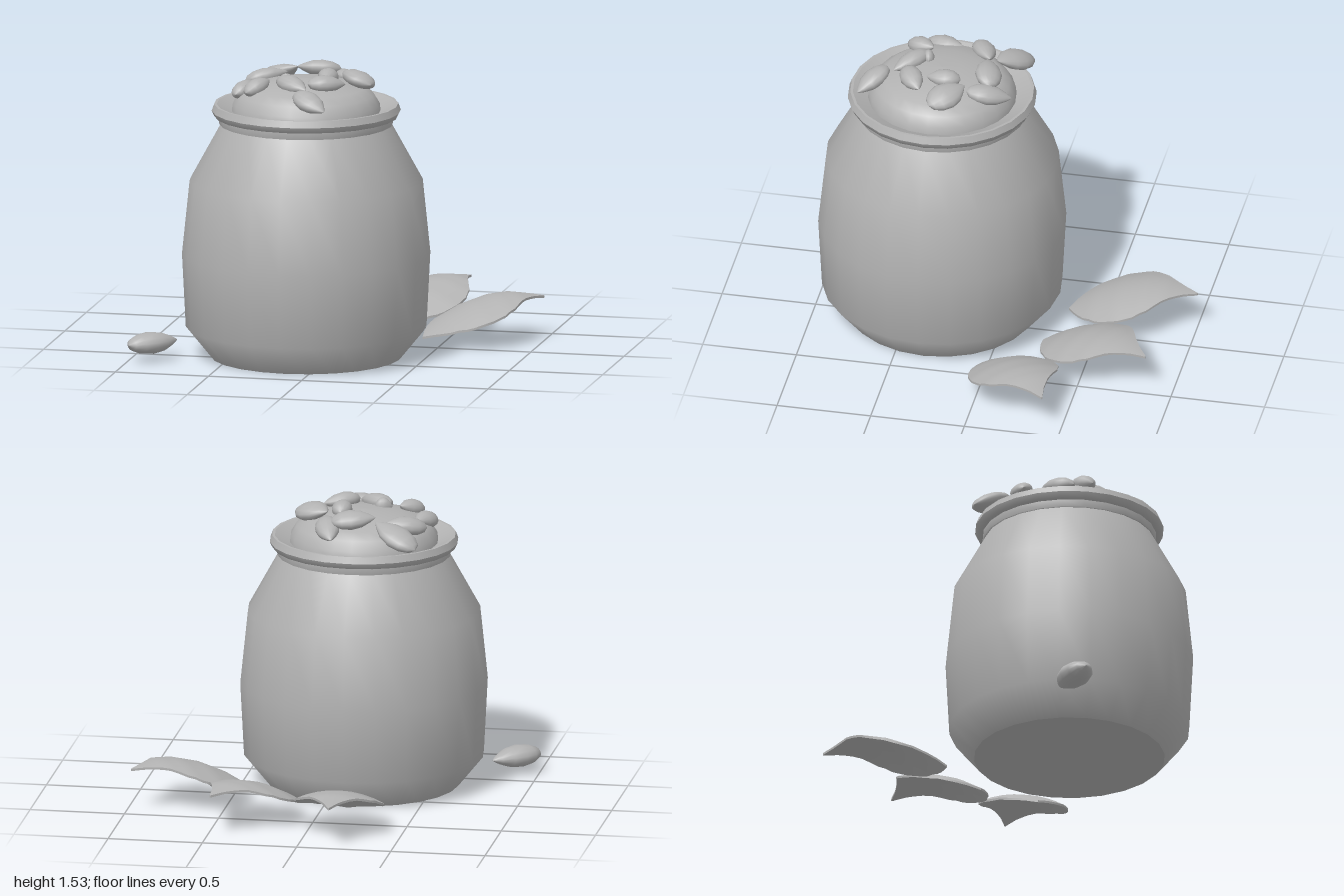
import * as THREE from 'three';

const clay = new THREE.MeshStandardMaterial({ color: 0xb2b2b2 });
clay.name = 'grey clay';

const CX = -0.125, CZ = 0.35; // jar axis
const vec = (pts) => pts.map(([x, y]) => new THREE.Vector2(x, y));

function add(parent, name, geometry) {
  const mesh = new THREE.Mesh(geometry, clay);
  mesh.name = name;
  parent.add(mesh);
  return mesh;
}

// Piecewise-linear lookup in [t, value] pairs
function lookup(table, t) {
  for (let i = 1; i < table.length; i++) {
    const [t0, a] = table[i - 1], [t1, b] = table[i];
    if (t <= t1) return a + (b - a) * (t - t0) / (t1 - t0);
  }
  return table[table.length - 1][1];
}

// Domed leaf: a thin box reshaped, stem end at the origin, tip towards -z
function leafGeometry(length = 0.685) {
  const halfWidth = [[0, 0], [0.06, 0.075], [0.13, 0.14], [0.27, 0.21], [0.42, 0.237], [0.55, 0.225],
    [0.65, 0.19], [0.81, 0.085], [0.9, 0.04], [1, 0.003]];
  const ridge = [[0, 0.045], [0.2, 0.135], [0.4, 0.2], [0.6, 0.237], [0.75, 0.243], [1, 0.215]];
  const g = new THREE.BoxGeometry(1, 0.012, 1, 8, 1, 20);
  const p = g.attributes.position;
  for (let i = 0; i < p.count; i++) {
    const t = 0.5 - p.getZ(i);
    const x = p.getX(i) * 2 * lookup(halfWidth, t);
    p.setXYZ(i, x, p.getY(i) + lookup(ridge, t) - 1.1 * x * x, -t * length);
  }
  g.computeVertexNormals();
  return g;
}

export function createModel() {
  const model = new THREE.Group();

  // Jar: separate lathes keep the edges between sections crisp
  const jar = new THREE.Group();
  jar.name = 'jar';
  jar.position.set(CX, 0, CZ);
  model.add(jar);
  const sections = {
    jarBase: [[0, 0], [0.5, 0]],
    jarBody: [[0.5, 0], [0.63, 0.16], [0.65, 0.55], [0.61, 0.94], [0.445, 1.24]],
    neck: [[0.445, 1.24], [0.455, 1.24], [0.455, 1.28]],
    rimLower: [[0.455, 1.28], [0.48, 1.28], [0.495, 1.31]],
    rimUpper: [[0.495, 1.31], [0.482, 1.345]],
    rimTop: [[0.482, 1.345], [0.468, 1.345]],
    rimInside: [[0.468, 1.345], [0.375, 1.3]],
    filling: [[0.39, 1.3], [0.385, 1.345], [0.355, 1.395], [0.305, 1.432], [0.2, 1.462], [0.1, 1.475], [0, 1.48]],
  };
  for (const [name, pts] of Object.entries(sections)) {
    add(jar, name, new THREE.LatheGeometry(vec(pts), 24));
  }

  // Seeds: flattened teardrops, [tip x, tip z, blunt x, blunt z, centre y, width]
  const seedGeometry = new THREE.LatheGeometry(vec([[0, -0.5], [0.26, -0.43], [0.43, -0.27], [0.5, -0.06],
    [0.42, 0.17], [0.22, 0.36], [0.08, 0.46], [0, 0.5]]), 14);
  const seeds = new THREE.Group();
  seeds.name = 'seeds';
  model.add(seeds);
  const addSeed = (name, [tx, tz, bx, bz, y, width], thickness, slope) => {
    const x = (tx + bx) / 2, z = (tz + bz) / 2;
    const normal = new THREE.Vector3((x - CX) * slope, 1, (z - CZ) * slope).normalize();
    const dir = new THREE.Vector3(tx - bx, 0, tz - bz);
    const length = dir.length();
    dir.addScaledVector(normal, -dir.dot(normal)).normalize();
    const side = new THREE.Vector3().crossVectors(dir, normal);
    const seed = add(seeds, name, seedGeometry);
    seed.quaternion.setFromRotationMatrix(new THREE.Matrix4().makeBasis(side, dir, normal));
    seed.scale.set(width, length, thickness);
    seed.position.set(x, y, z);
  };
  [
    [-0.23, 0.09, -0.47, -0.07, 1.43, 0.165],
    [-0.27, 0.13, -0.485, 0.22, 1.445, 0.125],
    [-0.225, 0.13, 0.005, 0.07, 1.485, 0.145],
    [-0.01, -0.05, 0.05, 0.19, 1.435, 0.13],
    [-0.01, 0.41, -0.02, 0.23, 1.485, 0.11],
    [0.04, 0.2, 0.225, 0.35, 1.475, 0.165],
    [0.105, 0.43, -0.075, 0.535, 1.48, 0.12],
    [-0.07, 0.6, -0.25, 0.445, 1.475, 0.115],
    [0.065, 0.775, -0.115, 0.63, 1.42, 0.135],
    [-0.3, 0.43, -0.4, 0.58, 1.455, 0.11],
    [-0.41, 0.3, -0.475, 0.5, 1.42, 0.115],
    [-0.26, 0.45, -0.17, 0.43, 1.475, 0.06],
  ].forEach((s) => addSeed('seed', s, 0.09, 1.1));
  addSeed('fallenSeed', [-0.775, 0.535, -0.985, 0.755, 0.093, 0.17], 0.115, 0);

  // Leaves fanned out behind the jar: [stem x, stem z, tip x, tip z]
  const leafShape = leafGeometry();
  [
    [-0.155, -0.32, -0.17, -1.0],
    [0.17, -0.25, 0.48, -0.855],
    [0.415, -0.02, 0.98, -0.41],
  ].forEach(([bx, bz, tx, tz]) => {
    const leaf = add(model, 'leaf', leafShape);
    leaf.position.set(bx, 0, bz);
    leaf.rotation.y = Math.atan2(bx - tx, bz - tz);
  });

  return model;
}
